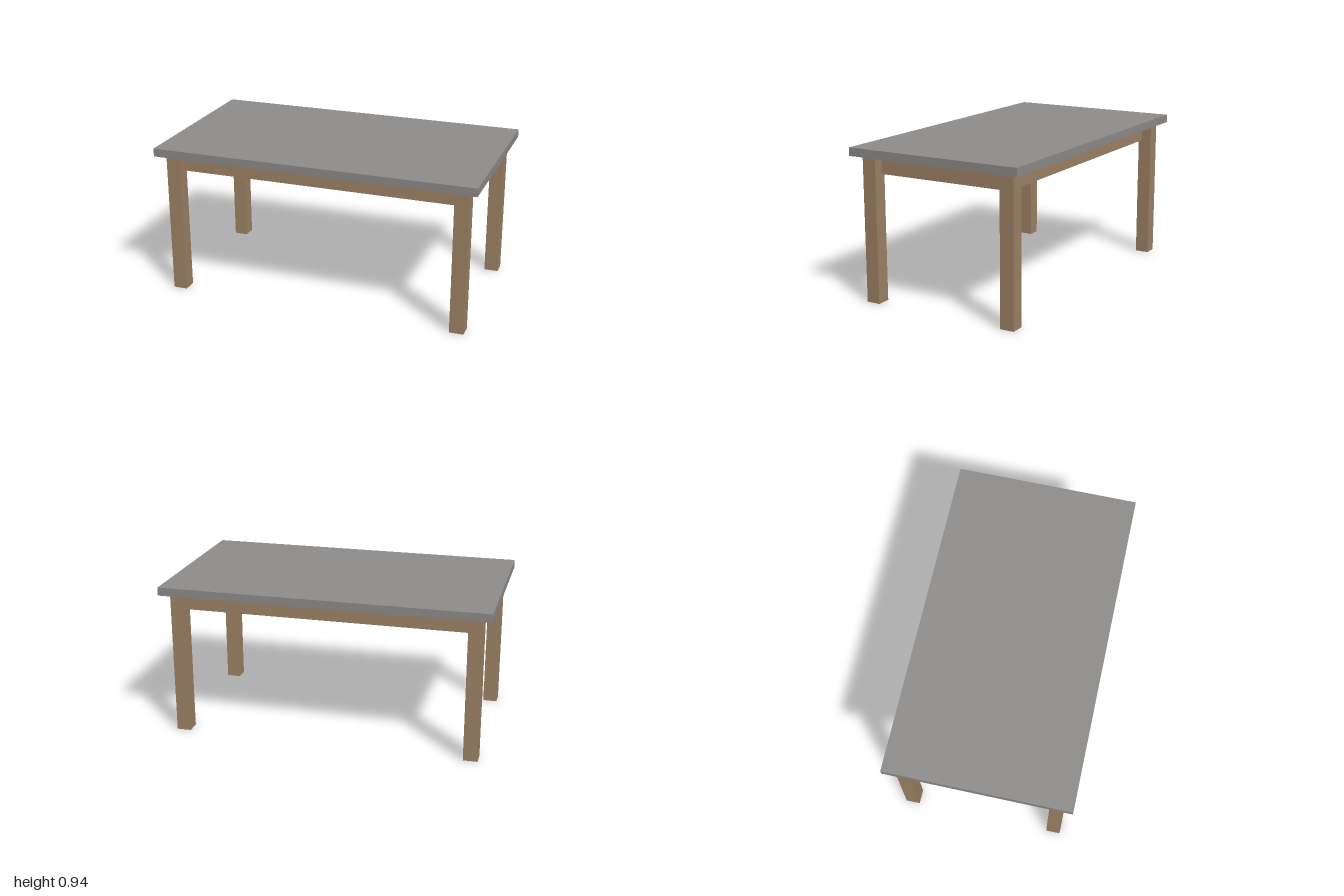
import * as THREE from 'three';

export function createModel() {
  const group = new THREE.Group();
  const wood = new THREE.MeshStandardMaterial({ color: 0x9f8366 });
  wood.name = 'brown wood';
  const grey = new THREE.MeshStandardMaterial({ color: 0x8f8d8b });
  grey.name = 'grey top';

  // Box standing on height y0 and reaching y1
  const box = (name, material, width, depth, y0, y1, x = 0, z = 0) => {
    const mesh = new THREE.Mesh(new THREE.BoxGeometry(width, y1 - y0, depth), material);
    mesh.name = name;
    mesh.position.set(x, (y0 + y1) / 2, z);
    group.add(mesh);
  };

  const underside = 0.89;
  box('tableTop', grey, 2, 1.12, underside, 0.94);

  // Solid apron block, set back from the outer faces of the legs
  box('apron', wood, 1.766, 0.886, 0.777, underside);

  // Four square legs
  for (const [side, sx] of [['Left', 1], ['Right', -1]]) {
    for (const [end, sz] of [['front', 1], ['back', -1]]) {
      box(`${end}${side}Leg`, wood, 0.087, 0.087, 0, underside, sx * 0.901, sz * 0.463);
    }
  }
  return group;
}
